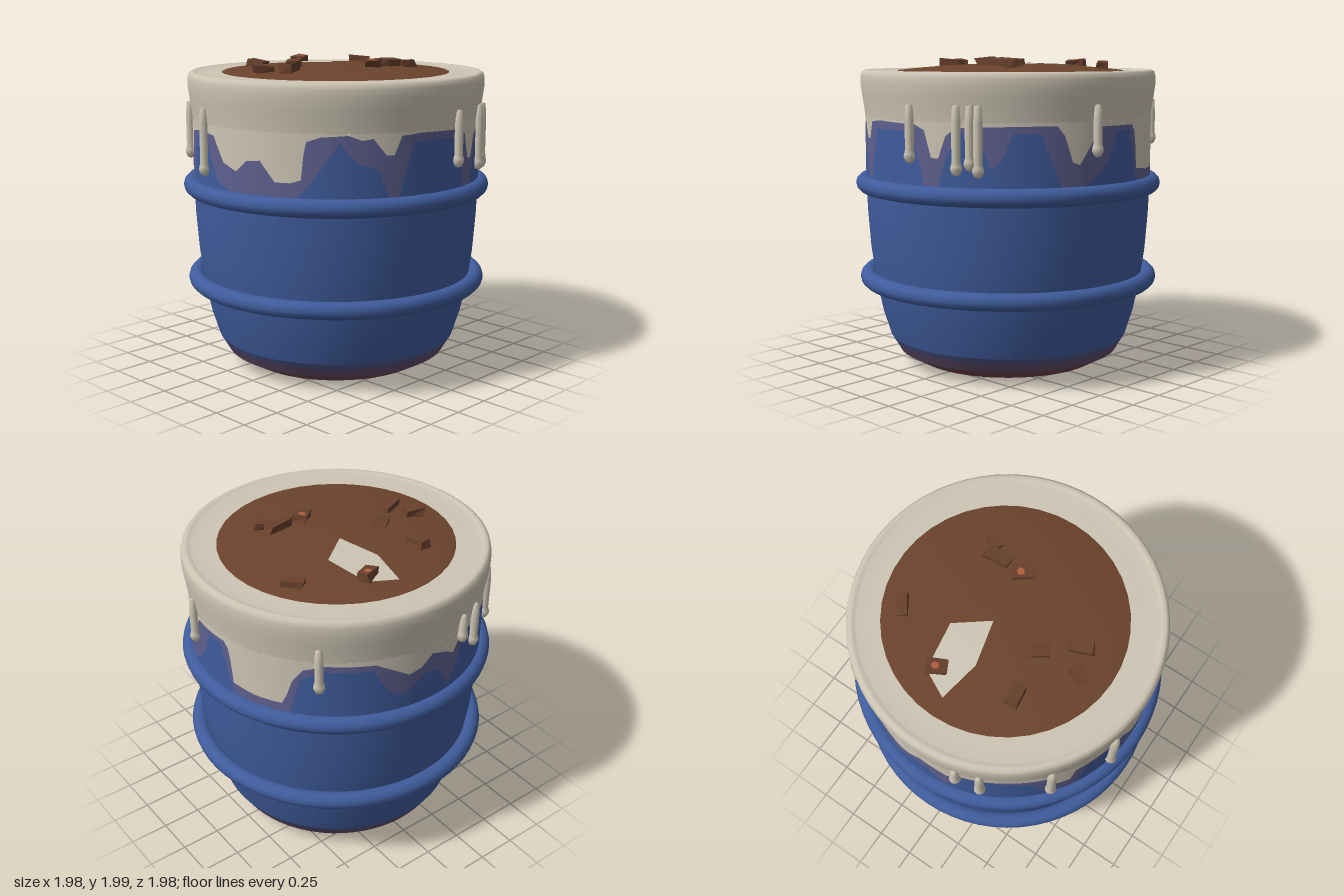
import * as THREE from 'three';

const mat = (name, color, double) => {
  const m = new THREE.MeshStandardMaterial({ color });
  m.name = name;
  if (double) m.side = THREE.DoubleSide;
  return m;
};

export function createModel() {
  const model = new THREE.Group();
  const blue = mat('blue glaze', 0x3f5c9c);
  const cream = mat('cream glaze', 0xcdc5b4, true);
  const wash = mat('violet wash', 0x5f608f);
  const soilMat = mat('soil brown', 0x6b432c);
  const clay = mat('base clay', 0x6b3a24);
  const rust = mat('rust fade', 0x70434c);
  const plum = mat('plum fade', 0x604a68);
  const slate = mat('slate fade', 0x4d5585);
  const bark = mat('bark brown', 0x68402c);
  const ember = mat('orange fleck', 0xb5603c, true);

  const add = (name, geometry, material, parent = model) => {
    const mesh = new THREE.Mesh(geometry, material);
    mesh.name = name;
    parent.add(mesh);
    return mesh;
  };
  const lathe = (pts, n = 64) =>
    new THREE.LatheGeometry(pts.map(([x, y]) => new THREE.Vector2(x, y)), n);

  // Pot wall, from the foot upward
  add('base', lathe([[0, 0.008], [0.43, 0.008], [0.6, 0.033]]), clay);
  add('footRust', lathe([[0.6, 0.033], [0.72, 0.1]]), rust);
  add('footPlum', lathe([[0.72, 0.1], [0.755, 0.16]]), plum);
  add('footSlate', lathe([[0.755, 0.16], [0.78, 0.2]]), slate);
  add('body', lathe([[0.78, 0.2], [0.83, 0.36], [0.87, 0.55], [0.9, 0.77],
    [0.917, 1], [0.925, 1.2]]), blue);

  // Flared rim and the cream ledge inside it
  add('rim', lathe([[0.925, 1.63], [0.93, 1.68], [0.942, 1.76], [0.951, 1.83], [0.95, 1.88],
    [0.943, 1.908], [0.925, 1.92], [0.9, 1.918], [0.885, 1.908], [0.8, 1.911], [0.65, 1.912], [0, 1.912]]), cream);

  // Two raised hoops
  for (const [name, y, r, t] of [['upperHoop', 1.198, 0.934, 0.057], ['lowerHoop', 0.583, 0.918, 0.055]]) {
    const hoop = add(name, new THREE.TorusGeometry(r, t, 12, 64), blue);
    hoop.rotation.x = Math.PI / 2;
    hoop.position.y = y;
  }

  // Glaze edges: [degrees from the front toward +x, height]
  const creamEdge = [[0, 1.615], [8, 1.61], [12, 1.58], [15, 1.42], [18, 1.42], [21, 1.55], [25, 1.6],
    [48, 1.61], [62, 1.61], [65, 1.55], [68, 1.4], [71, 1.38], [76, 1.5], [81, 1.6], [98, 1.6], [100.5, 1.55],
    [102, 1.33], [112, 1.31], [123, 1.31], [125, 1.38], [127, 1.48], [131, 1.57], [139, 1.61], [157, 1.6],
    [165, 1.53], [170, 1.48], [175, 1.5], [180, 1.57], [187, 1.53], [191, 1.49], [195, 1.58], [215, 1.6],
    [229, 1.58], [232, 1.42], [238, 1.4], [240, 1.56], [252, 1.59], [262, 1.57], [268, 1.42], [275, 1.38],
    [280, 1.45], [286, 1.46], [292, 1.34], [298, 1.34], [302, 1.36], [303.5, 1.58], [309, 1.61], [319, 1.62],
    [324, 1.59], [328, 1.6], [333, 1.5], [336, 1.5], [339, 1.61], [348, 1.62], [360, 1.615]];
  const washEdge = [[0, 1.57], [6, 1.56], [9, 1.42], [12, 1.25], [18, 1.25], [21, 1.42], [26, 1.57], [33, 1.57],
    [38, 1.36], [42, 1.42], [46, 1.57], [56, 1.57], [61, 1.36], [64, 1.25], [73, 1.25], [80, 1.33], [85, 1.42],
    [89, 1.57], [96, 1.57], [99, 1.42], [102, 1.25], [126, 1.25], [130, 1.5], [138, 1.57], [156, 1.56],
    [162, 1.4], [168, 1.34], [178, 1.45], [184, 1.42], [189, 1.28], [194, 1.4], [198, 1.57], [216, 1.57],
    [224, 1.5], [229, 1.25], [240, 1.25], [246, 1.55], [256, 1.55], [264, 1.3], [272, 1.25], [300, 1.25],
    [305, 1.33], [316, 1.58], [322, 1.46], [330, 1.42], [334, 1.25], [338, 1.25], [344, 1.57], [360, 1.57]];
  const heightAt = (edge, deg) => {
    const i = Math.max(1, edge.findIndex(p => p[0] >= deg));
    const [a, b] = [edge[i - 1], edge[i]];
    return THREE.MathUtils.mapLinear(deg, a[0], b[0], a[1], b[1]);
  };
  const creamY = d => heightAt(creamEdge, d);
  const washY = d => Math.min(heightAt(washEdge, d), creamY(d));

  // Strip of wall between two edge heights
  const band = (low, high) => {
    const pos = [], nor = [], idx = [], n = 360;
    for (let i = 0; i <= n; i++) {
      const deg = i * 360 / n, a = THREE.MathUtils.degToRad(deg), s = Math.sin(a), c = Math.cos(a);
      for (const y of [low(deg), high(deg)]) {
        pos.push(0.925 * s, y, 0.925 * c);
        nor.push(s, 0, c);
      }
      const k = i * 2;
      if (i < n) idx.push(k, k + 2, k + 3, k, k + 3, k + 1);
    }
    const g = new THREE.BufferGeometry();
    g.setAttribute('position', new THREE.Float32BufferAttribute(pos, 3));
    g.setAttribute('normal', new THREE.Float32BufferAttribute(nor, 3));
    g.setIndex(idx);
    return g;
  };
  add('blueShoulder', band(() => 1.2, washY), blue);
  add('washBand', band(washY, creamY), wash);
  add('creamGlaze', band(creamY, () => 1.63), cream);

  // Raised drips with a bead at the tip: [degrees, bottom height]
  const drips = [[6, 1.38], [25.5, 1.32], [30.5, 1.35], [33.5, 1.31], [78, 1.42], [137, 1.43],
    [195, 1.54], [204, 1.43], [230, 1.36], [256, 1.31]];
  for (const [deg, y] of drips) {
    const a = THREE.MathUtils.degToRad(deg);
    const drip = add('drip', lathe([[0, y], [0.022, y + 0.01], [0.036, y + 0.04], [0.033, y + 0.06],
      [0.027, y + 0.08], [0.028, 1.63], [0.022, 1.725], [0, 1.732]], 10), cream);
    drip.position.set(0.94 * Math.sin(a), 0, 0.94 * Math.cos(a));
  }

  // Soil mound
  const soilY = r => 1.912 + 0.044 * (1 - (r / 0.735) ** 2);
  const soilProfile = [0.735, 0.72, 0.6, 0.4, 0.2, 0].map((r, i) => [r, i ? soilY(r) + 0.003 : 1.91]);
  const soil = add('soil', lathe(soilProfile, 40), soilMat);
  soil.position.set(0.008, 0, -0.013);

  // Pale patch lying on the soil
  const outline = [[0.02, -0.63], [0.16, -0.56], [0.2, -0.5], [0.24, -0.24], [0.04, -0.09], [-0.03, -0.37]];
  const patch = new THREE.ShapeGeometry(new THREE.Shape(outline.map(([x, z]) => new THREE.Vector2(x, -z))));
  patch.rotateX(-Math.PI / 2);
  const pp = patch.attributes.position;
  for (let i = 0; i < pp.count; i++) pp.setY(i, soilY(Math.hypot(pp.getX(i), pp.getZ(i))) + 0.008);
  patch.computeVertexNormals();
  add('patch', patch, cream);

  // Bark chips: [x, z, length, width, turn, flecked]
  const chips = [[-0.32, -0.4, 0.14, 0.085, 1.65], [-0.55, -0.085, 0.14, 0.09, -0.4],
    [-0.28, -0.095, 0.13, 0.09, 0.7], [-0.47, 0.065, 0.16, 0.09, 0.4], [0.15, -0.5, 0.13, 0.09, 0.4, true],
    [0.54, -0.3, 0.15, 0.08, -0.95], [0.075, 0.26, 0.14, 0.1, 0.6, true],
    [0.25, 0.26, 0.19, 0.085, 0.1], [0.32, 0.33, 0.1, 0.065, -0.5]];
  chips.forEach(([x, z, length, width, turn, flecked], i) => {
    const chip = new THREE.Group();
    chip.name = 'barkChip';
    const g = new THREE.BoxGeometry(length, 0.055, width);
    const p = g.attributes.position;
    // Skew the corners so each chip is an irregular chunk
    for (let k = 0; k < p.count; k++) {
      const [sx, sy, sz] = [Math.sign(p.getX(k)), Math.sign(p.getY(k)), Math.sign(p.getZ(k))];
      const w = Math.sin(i * 5.1 + sx * 2.3 + sy * 1.1 + sz * 3.7);
      p.setX(k, p.getX(k) * (0.9 + 0.14 * w) - sy * 0.006);
      p.setZ(k, p.getZ(k) * (0.88 - 0.16 * w));
    }
    const flat = g.toNonIndexed();
    flat.computeVertexNormals();
    add('chunk', flat, bark, chip);
    if (flecked) {
      const fleck = add('fleck', new THREE.CircleGeometry(0.026, 5), ember, chip);
      fleck.rotation.x = -Math.PI / 2;
      fleck.position.set(0.01, 0.029, -0.008);
    }
    chip.position.set(x, soilY(Math.hypot(x, z)) + 0.018, z);
    chip.rotation.set(0.12 * Math.sin(i * 2), turn, 0.1 * Math.cos(i * 3), 'YXZ');
    model.add(chip);
  });

  return model;
}
